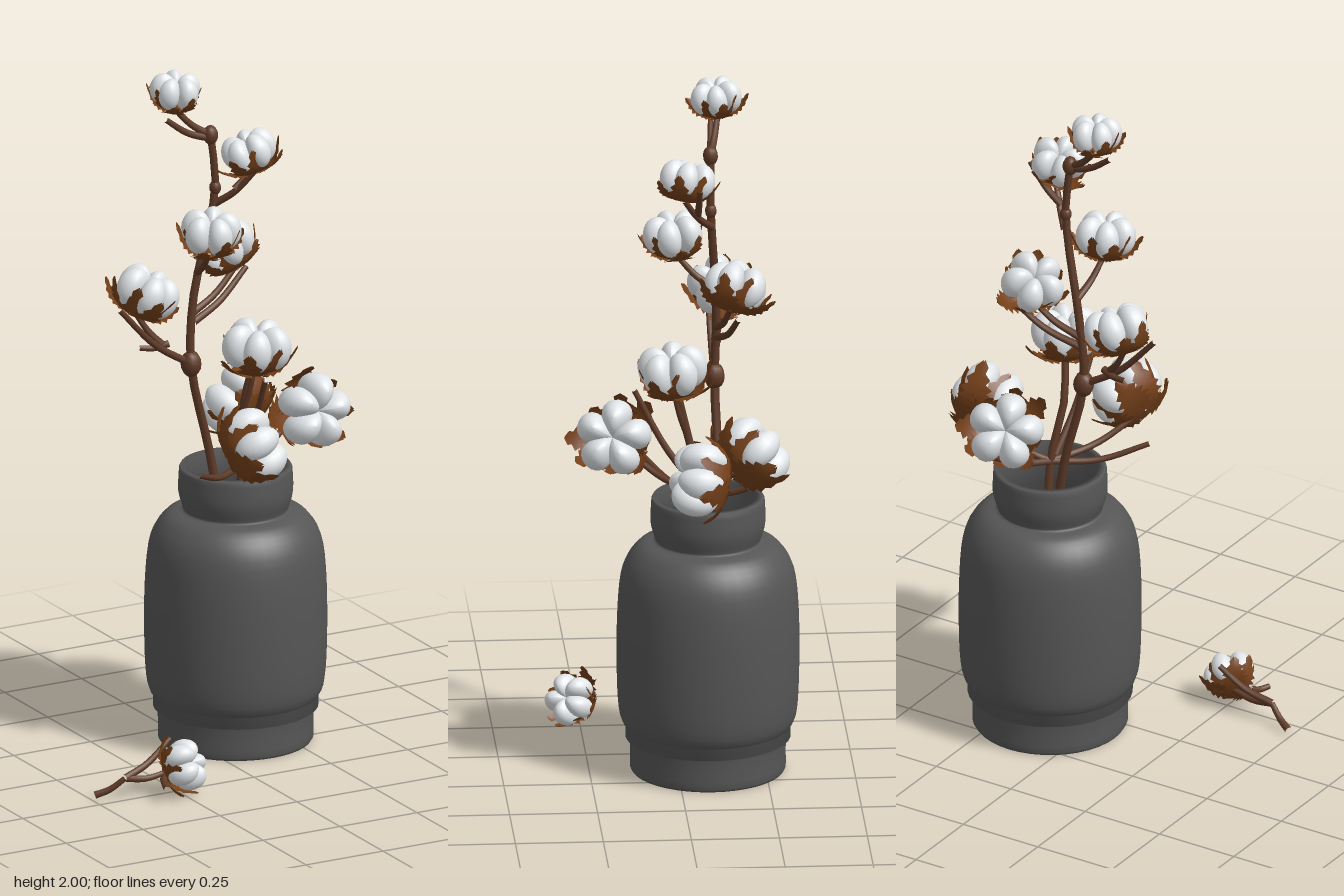
import * as THREE from 'three';
import { mergeGeometries } from 'three/addons/utils/BufferGeometryUtils.js';

const V = (p) => new THREE.Vector3(...p);

// Tapered branch along a smooth curve
function branchGeometry(points, r0, r1) {
  const curve = new THREE.CatmullRomCurve3(points);
  const segs = 5 * (points.length - 1), sides = 8;
  const geo = new THREE.TubeGeometry(curve, segs, 1, sides);
  const pos = geo.attributes.position, v = new THREE.Vector3();
  for (let i = 0; i <= segs; i++) {
    const c = curve.getPointAt(i / segs), r = r0 + (r1 - r0) * (i / segs);
    for (let j = 0; j <= sides; j++) {
      const k = i * (sides + 1) + j;
      v.fromBufferAttribute(pos, k).sub(c).multiplyScalar(r).add(c);
      pos.setXYZ(k, v.x, v.y, v.z);
    }
  }
  return geo;
}

// Short twig that sags a little between its two ends
function twigGeometry(start, end) {
  const mid = start.clone().lerp(end, 0.5);
  mid.y -= 0.08 * start.distanceTo(end);
  return branchGeometry([start, mid, end], 0.011, 0.008);
}

// Five puffy wedge lobes around the y axis, radius about 1
function fluffGeometry() {
  const lobes = [];
  for (let i = 0; i < 5; i++) {
    const geo = new THREE.SphereGeometry(1, 20, 14);
    const pos = geo.attributes.position;
    for (let k = 0; k < pos.count; k++) {
      const x = pos.getX(k), y = pos.getY(k), z = pos.getZ(k);
      pos.setXYZ(k, 0.5 + x * 0.5, y * 0.62, z * 0.47 * (0.8 + 0.25 * x));
    }
    geo.computeVertexNormals();
    lobes.push(geo.rotateY(i * Math.PI * 0.4));
  }
  return mergeGeometries(lobes);
}

// Dry, toothed bracts curling up under the fluff
function calyxGeometry() {
  const leaves = [], rows = 12;
  for (let i = 0; i < 8; i++) {
    const geo = new THREE.PlaneGeometry(2, 1, 2, rows);
    const pos = geo.attributes.position;
    const length = [1.1, 0.9, 1.25][i % 3], curl = [0.75, 0.85, 0.45][i % 3];
    for (let k = 0; k < pos.count; k++) {
      const u = pos.getY(k) + 0.5, side = pos.getX(k);
      const tooth = Math.round(u * rows) % 2 ? 1 : 0.62;
      const w = u > 0.99 ? 0.02 : (0.1 + 0.42 * Math.sin(Math.PI * Math.pow(u, 0.75))) * tooth;
      const sway = 0.12 * u * u * Math.sin(i * 2.3);
      pos.setXYZ(k,
        0.05 + length * Math.pow(u, 0.85),
        -0.8 + 0.1 * u + curl * u * u * u + 0.08 * Math.abs(side) * u,
        side * w + sway);
    }
    geo.computeVertexNormals();
    leaves.push(geo.rotateY(i * Math.PI / 4 + 0.2));
  }
  return mergeGeometries(leaves);
}

export function createModel() {
  const model = new THREE.Group();
  const material = (name, color, side = THREE.FrontSide) => {
    const m = new THREE.MeshStandardMaterial({ color, side });
    m.name = name;
    return m;
  };
  const ceramic = material('charcoal ceramic', 0x565656, THREE.DoubleSide);
  const bark = material('brown bark', 0x5e3a27);
  const husk = material('dry husk', 0x74401a, THREE.DoubleSide);
  const cotton = material('white cotton', 0xe9edf0);

  const add = (name, geo, mat, parent = model) => {
    const mesh = new THREE.Mesh(geo, mat);
    mesh.name = name;
    parent.add(mesh);
    return mesh;
  };

  // Vase: smooth belly between a flat foot and a rolled collar, hollow inside
  const P = ([x, y]) => new THREE.Vector2(x, y);
  const belly = new THREE.SplineCurve([
    [0.221, 0.008], [0.224, 0.11], [0.25, 0.165], [0.259, 0.28], [0.258, 0.47], [0.243, 0.6], [0.2, 0.668], [0.15, 0.685],
  ].map(P));
  const collar = new THREE.SplineCurve([[0.15, 0.69], [0.163, 0.74], [0.161, 0.808]].map(P));
  const inside = [[0.157, 0.815], [0.138, 0.815], [0.134, 0.69], [0.235, 0.55], [0.235, 0.1], [0, 0.03]].map(P);
  const profile = [P([0, 0]), P([0.216, 0]), ...belly.getPoints(28), ...collar.getPoints(8), ...inside];
  add('vase', new THREE.LatheGeometry(profile, 40), ceramic).position.set(0.13, 0, -0.088);

  // Two main stems rising out of the vase
  const tall = [[0.16, 0.1, -0.06], [0.07, 0.82, -0.12], [0, 1.13, -0.115], [0.01, 1.32, -0.12], [0.07, 1.65, -0.1], [0.055, 1.81, -0.1]];
  const short = [[0.1, 0.1, -0.14], [0.14, 0.82, -0.07], [0.12, 1, -0.03], [0.135, 1.13, 0]];
  add('tallStem', branchGeometry(tall.map(V), 0.015, 0.011), bark);
  add('shortStem', branchGeometry(short.map(V), 0.014, 0.011), bark);

  // Snapped side stubs: start and end
  [
    [[0.055, 1.8, -0.1], [-0.085, 1.875, -0.11]],
    [[0.11, 1.65, -0.06], [0.215, 1.76, -0.06]],
    [[0.01, 1.25, -0.12], [0.21, 1.37, -0.17]],
    [[0, 1.13, -0.115], [-0.235, 1.33, -0.11]],
    [[-0.07, 1.2, -0.12], [-0.155, 1.195, -0.14]],
    [[0.13, 0.84, -0.06], [0.11, 1.13, 0.12]],
    [[0.14, 0.82, -0.07], [-0.09, 0.87, 0.09]],
    [[0.14, 0.82, -0.07], [0.23, 0.92, -0.29]],
  ].forEach(([a, b]) => add('stub', twigGeometry(V(a), V(b)), bark));

  // Knots where the tall stem forks
  [[2, 0.03], [4, 0.017], [5, 0.022]].forEach(([index, r]) => {
    const knot = add('knot', new THREE.SphereGeometry(r, 10, 8), bark);
    knot.position.copy(V(tall[index]));
    knot.scale.y = 1.3;
  });

  // Cotton boll with the twig that carries it
  const fluff = fluffGeometry(), calyx = calyxGeometry(), up = V([0, 1, 0]);
  const addBoll = (centre, facing, root, radius, spin) => {
    const dir = V(facing).normalize();
    const boll = new THREE.Group();
    boll.name = 'cottonBoll';
    add('fluff', fluff, cotton, boll);
    add('calyx', calyx, husk, boll);
    boll.position.copy(V(centre));
    boll.quaternion.setFromUnitVectors(up, dir);
    boll.rotateY(spin);
    boll.scale.setScalar(radius);
    model.add(boll);
    add('bollTwig', twigGeometry(V(root), V(centre).addScaledVector(dir, -0.75 * radius)), bark);
  };

  // Bolls in the vase: centre, facing and twig root; they get smaller higher up
  [
    [[-0.045, 1.953, -0.122], [0.05, 1, 0.1], tall[5]],
    [[0.14, 1.77, -0.03], [-0.3, 1, -0.2], [0.07, 1.6, -0.105]],
    [[0, 1.56, 0], [0, 1, 0.12], [0.02, 1.4, -0.115]],
    [[0.135, 1.445, -0.17], [-0.45, 0.85, -0.3], [0.01, 1.28, -0.12]],
    [[-0.13, 1.36, -0.14], [0.4, 0.9, 0.15], [-0.09, 1.2, -0.12]],
    [[0.14, 1.2, 0.015], [0.05, 1, 0.1], short[2]],
    [[0.045, 0.965, 0.175], [0.88, 0.4, 0.2], short[1]],
    [[0.36, 0.95, -0.045], [0.1, 0.25, 1], short[1]],
    [[0.2, 0.965, -0.215], [-0.45, 0.5, -0.7], short[1]],
  ].forEach(([centre, facing, root], i) => addBoll(centre, facing, root, 0.145 - 0.036 * centre[1], i * 1.1));

  // Fallen sprig lying beside the vase
  const fork = [-0.41, 0.06, 0.235];
  add('sprigStem', twigGeometry(V([-0.488, 0.012, 0.2]), V(fork)), bark);
  add('sprigStub', twigGeometry(V(fork), V([-0.25, 0.145, 0.21])), bark);
  add('sprigStub', twigGeometry(V([-0.31, 0.055, 0.28]), V([-0.333, 0.045, 0.34])), bark);
  addBoll([-0.24, 0.085, 0.28], [0.6, 0.4, 0.6], fork, 0.076, 0.5);
  return model;
}
